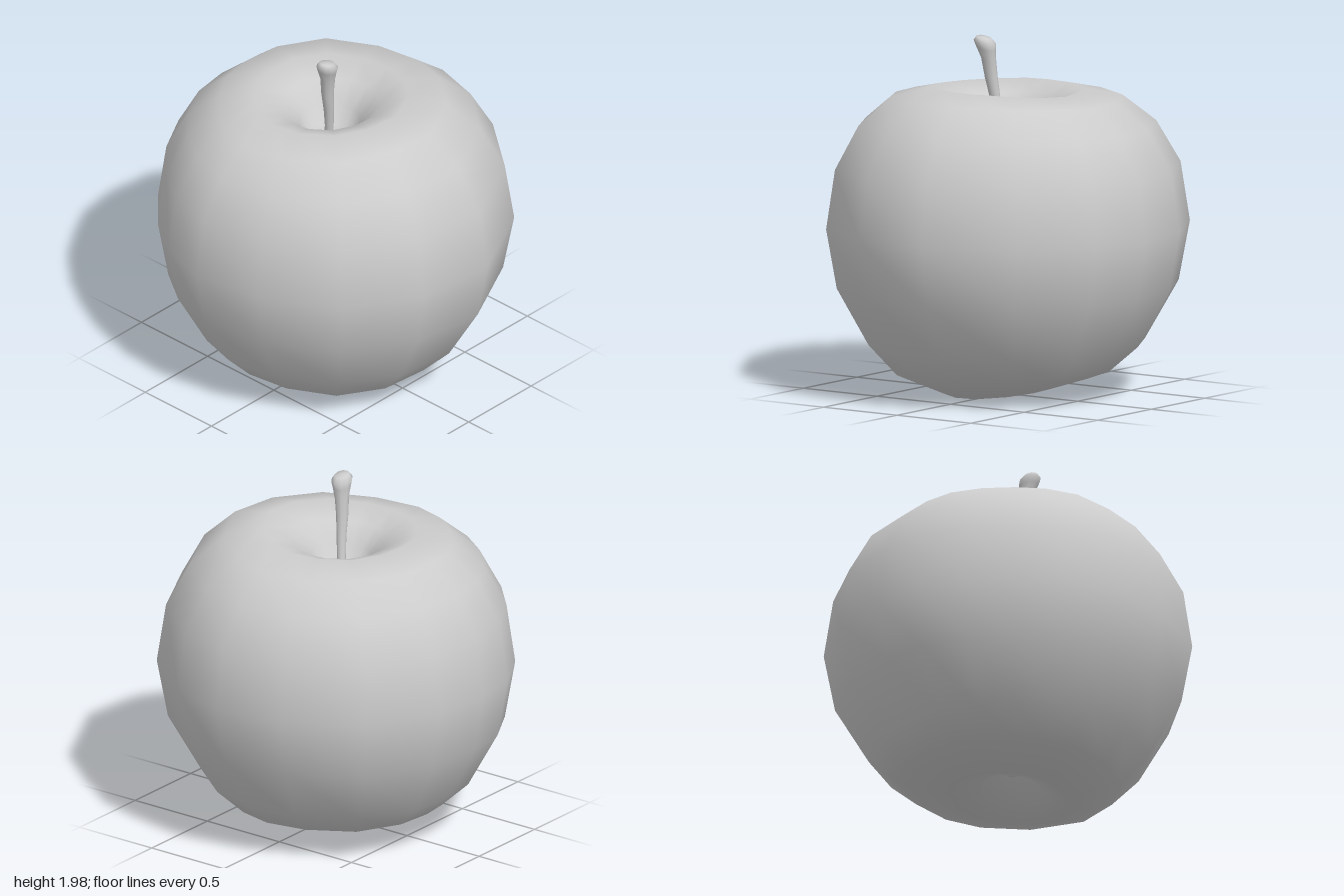
import * as THREE from 'three';
import { mergeVertices } from 'three/addons/utils/BufferGeometryUtils.js';

const material = new THREE.MeshStandardMaterial({ color: 0xcccccc });

// Skin a stack of closed rings (top to bottom) with smooth normals
function loft(rings) {
  const n = rings[0].length;
  const index = [];
  for (let i = 0; i < rings.length - 1; i++) {
    for (let j = 0; j < n; j++) {
      const a = i * n + j, b = i * n + (j + 1) % n;
      index.push(a, b, a + n, b, b + n, a + n);
    }
  }
  const geometry = new THREE.BufferGeometry();
  geometry.setAttribute('position', new THREE.Float32BufferAttribute(rings.flat(2), 3));
  geometry.setIndex(index);
  const merged = mergeVertices(geometry);
  merged.computeVertexNormals();
  return merged;
}

function addPart(group, name, geometry) {
  const mesh = new THREE.Mesh(geometry, material);
  mesh.name = name;
  group.add(mesh);
  return mesh;
}

// Irregular outline at the widest level, as [x, z]
const OUTLINE = [
  [1, 0.05], [0.91, 0.39], [0.63, 0.75], [0.16, 0.99],
  [-0.3, 0.94], [-0.7, 0.7], [-0.93, 0.29], [-1, -0.11],
  [-0.92, -0.4], [-0.77, -0.62], [-0.56, -0.82], [-0.31, -0.96],
  [-0.04, -1], [0.32, -0.97], [0.71, -0.76], [0.94, -0.35],
];

// [radius, height, top unevenness, bottom tilt]
const PROFILE = [
  [0, 1.42, 0, 0], [0.12, 1.44, 0, 0], [0.17, 1.54, 0.3, 0],
  [0.28, 1.635, 0.8, 0], [0.43, 1.69, 1, 0], [0.64, 1.645, 1, 0],
  [0.82, 1.5, 0.3, 0], [0.95, 1.27, 0, 0], [1, 0.94, 0, 0],
  [0.94, 0.61, 0, 0], [0.76, 0.29, 0, 0], [0.6, 0.135, 0, 0.5],
  [0.33, 0.04, 0, 1], [0.17, 0.1, 0, 0.5], [0.09, 0.22, 0, 0], [0, 0.24, 0, 0],
];

function fruitBody() {
  return loft(PROFILE.map(([r, y, top, bottom]) => {
    const shift = -0.03 * (1 - r); // hollows sit slightly off axis
    return OUTLINE.map(([x, z]) => [
      x * r + shift,
      y + top * (0.015 * z + 0.02 * z * z) + bottom * 0.03 * (0.6 * x - z),
      z * r + shift,
    ]);
  }));
}

// Bent stem that flares to a rounded knob: [x, y, z, radius]
function stemShape() {
  const sides = 10;
  const stations = [
    [-0.11, 1.985, 0.035, 0], [-0.11, 1.98, 0.035, 0.045],
    [-0.107, 1.955, 0.033, 0.064], [-0.102, 1.92, 0.028, 0.056],
    [-0.09, 1.86, 0.02, 0.043], [-0.08, 1.76, 0.01, 0.037],
    [-0.06, 1.64, 0, 0.03], [-0.04, 1.52, -0.015, 0.026],
    [-0.03, 1.4, -0.03, 0.03],
  ];
  return loft(stations.map(([x, y, z, r]) => Array.from({ length: sides }, (_, j) => {
    const a = (j / sides) * Math.PI * 2;
    const lean = r > 0.04 ? -0.2 : 0; // knob is tipped a little
    return [x + r * Math.cos(a), y + lean * r * Math.cos(a), z + 0.9 * r * Math.sin(a)];
  })));
}

export function createModel() {
  const group = new THREE.Group();
  group.name = 'apple';
  addPart(group, 'fruitBody', fruitBody());
  addPart(group, 'stem', stemShape());

  // Small dried blossom nub inside the lower hollow
  const nub = addPart(group, 'blossomNub', new THREE.SphereGeometry(0.06, 10, 6));
  nub.scale.set(1, 0.8, 1);
  nub.position.set(-0.03, 0.22, -0.03);
  return group;
}
